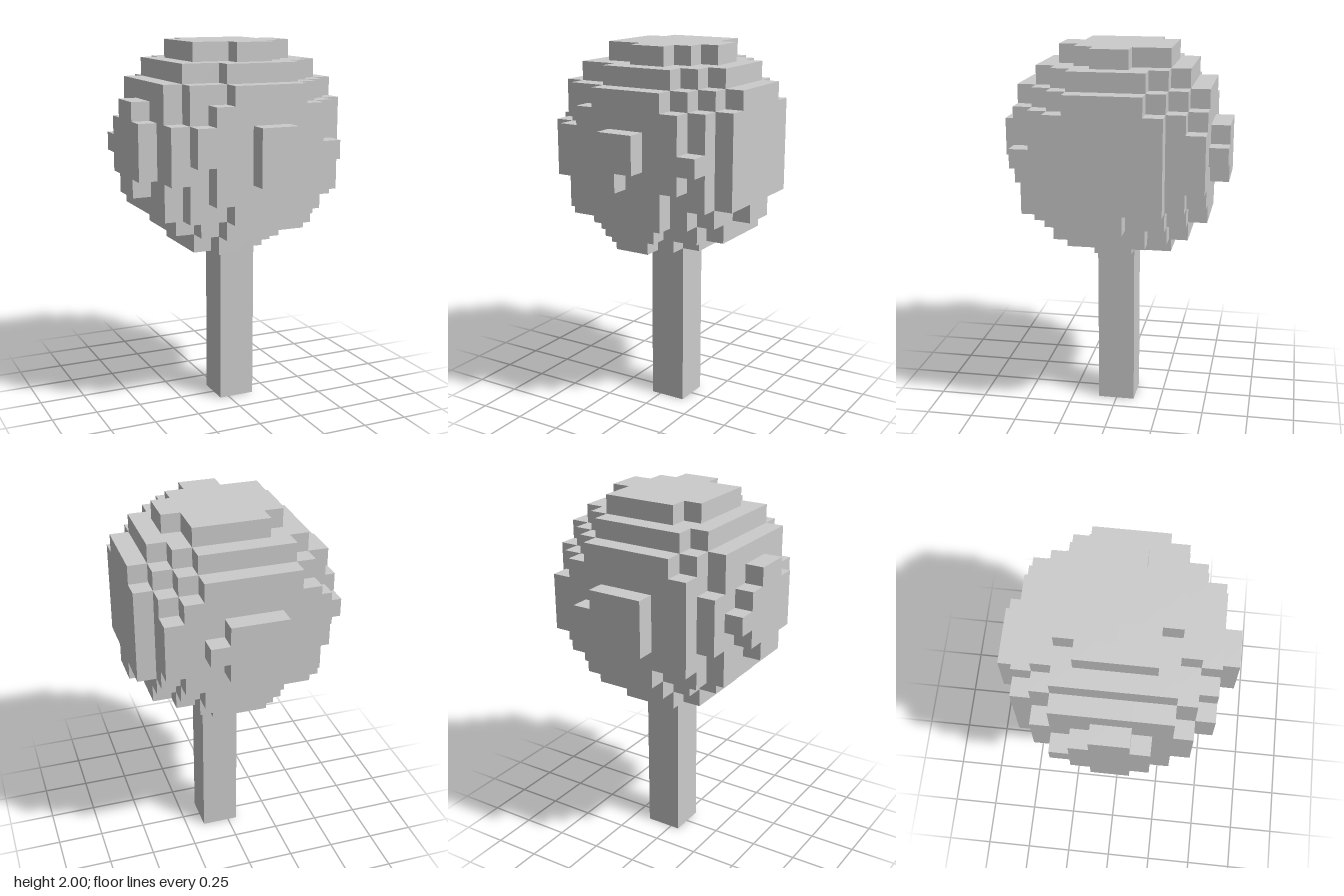
import * as THREE from 'three';

const CELL = 0.1;
const ORIGIN = [-0.55, 0.9, -0.6]; // corner of the foliage grid (11 x 11 x 12 cells)

// Builds one closed skin around a set of filled cells
function skinGeometry(cells) {
  const positions = [];
  const has = (c) => cells.has(c.join());
  for (const key of cells) {
    const cell = key.split(',').map(Number);
    for (let axis = 0; axis < 3; axis++) {
      const u = (axis + 1) % 3, v = (axis + 2) % 3;
      for (const dir of [-1, 1]) {
        const neighbour = cell.slice();
        neighbour[axis] += dir;
        if (has(neighbour)) continue;
        const corner = (a, b) => {
          const p = cell.slice();
          if (dir > 0) p[axis] += 1;
          p[u] += a;
          p[v] += b;
          return p.map((n, i) => ORIGIN[i] + n * CELL);
        };
        const quad = [corner(0, 0), corner(1, 0), corner(1, 1), corner(0, 1)];
        if (dir < 0) quad.reverse();
        for (const i of [0, 1, 2, 0, 2, 3]) positions.push(...quad[i]);
      }
    }
  }
  const geometry = new THREE.BufferGeometry();
  geometry.setAttribute('position', new THREE.Float32BufferAttribute(positions, 3));
  geometry.computeVertexNormals();
  return geometry;
}

function foliageCells() {
  const cells = new Set();
  // Each span [from, to) fills one row of a one-cell-thick slab
  const slab = (start, spans, toCell) => spans.forEach(([from, to], row) => {
    for (let n = from; n < to; n++) cells.add(toCell(n, start + row).join());
  });
  const layer = (y, z0, spans) => slab(z0, spans, (x, z) => [x, y, z]);
  const wall = (z, y0, spans) => slab(y0, spans, (x, y) => [x, y, z]);
  const side = (x, y0, spans) => slab(y0, spans, (z, y) => [x, y, z]);
  const repeat = (span, count) => Array(count).fill(span);

  // Core, trimmed towards its top and bottom corners
  for (let y = 2; y <= 8; y++) {
    const edge = y === 2 || y === 8 ? [2, 9] : y === 3 || y === 7 ? [2, 10] : [1, 10];
    layer(y, 2, [edge, ...repeat([1, 10], 6), edge]);
  }
  // Stepped underside
  layer(0, 3, [[4, 7], [3, 7], [3, 8], [3, 8], [3, 7], [4, 6]]);
  layer(1, 2, [[4, 8], [3, 9], ...repeat([2, 10], 4), [3, 9], [4, 7]]);
  // Stepped crown
  layer(9, 2, [[3, 8], [2, 9], ...repeat([2, 10], 4), [2, 9], [4, 8]]);
  layer(10, 3, [[4, 8], [3, 8], [3, 9], [3, 9], [3, 8], [5, 7]]);
  // Front slab and bump
  wall(10, 2, [[4, 8], [3, 8], [3, 9], [2, 10], [2, 9], [3, 9], [4, 8]]);
  wall(11, 4, [[5, 6], [5, 7], [5, 7]]);
  // Back slab and bump
  wall(1, 2, [[4, 8], [2, 9], ...repeat([2, 10], 3), [2, 9], [3, 8]]);
  wall(0, 4, [[4, 7], [4, 8], [4, 7]]);
  // Left and right slabs
  side(10, 2, [[5, 7], ...repeat([3, 9], 5), [4, 8]]);
  side(0, 3, [[5, 7], [4, 8], [3, 8], [4, 8], [5, 7]]);
  return cells;
}

export function createModel() {
  const group = new THREE.Group();
  group.name = 'blockTree';
  const material = new THREE.MeshStandardMaterial({ color: 0xcccccc, flatShading: true });

  const trunk = new THREE.Mesh(new THREE.BoxGeometry(0.2, 0.9, 0.2), material);
  trunk.name = 'trunk';
  trunk.position.set(0.05, 0.45, 0);

  const foliage = new THREE.Mesh(skinGeometry(foliageCells()), material);
  foliage.name = 'foliage';

  group.add(trunk, foliage);
  return group;
}
